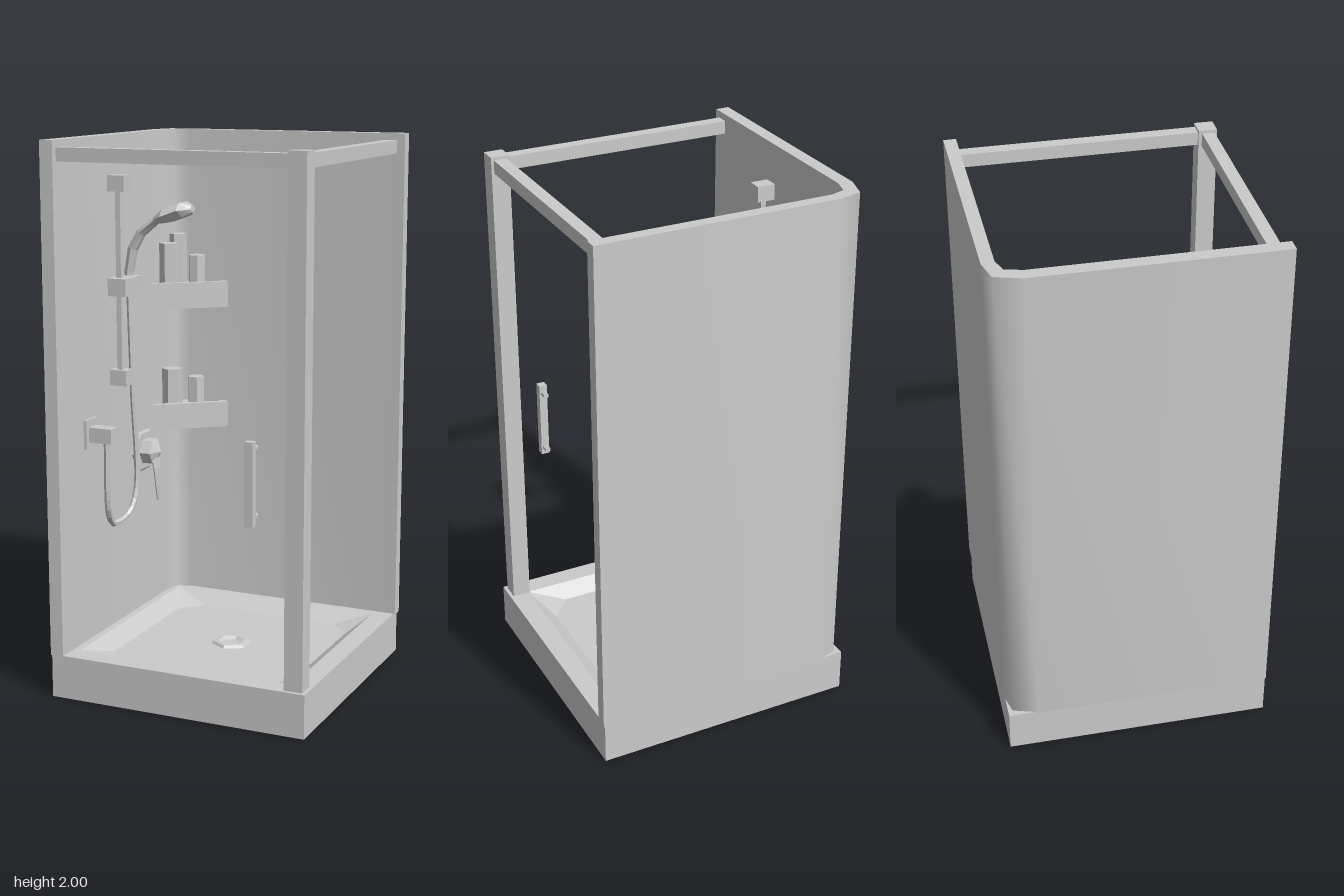
import * as THREE from 'three';
import { toCreasedNormals } from 'three/addons/utils/BufferGeometryUtils.js';

const mat = new THREE.MeshStandardMaterial({ color: 0xcccccc, flatShading: true });
const smoothMat = new THREE.MeshStandardMaterial({ color: 0xcccccc });

function add(parent, name, geo, material = mat) {
  const mesh = new THREE.Mesh(geo, material);
  mesh.name = name;
  parent.add(mesh);
  return mesh;
}

// Box given by its limits on each axis
function box(parent, name, [x0, x1], [y0, y1], [z0, z1]) {
  const m = add(parent, name, new THREE.BoxGeometry(x1 - x0, y1 - y0, z1 - z0));
  m.position.set((x0 + x1) / 2, (y0 + y1) / 2, (z0 + z1) / 2);
  return m;
}

// Floor plan of [x, z] points raised from y0 to y1
function raise(plan, y0, y1, hole) {
  const pts = p => p.map(([x, z]) => new THREE.Vector2(x, -z));
  const shape = new THREE.Shape(pts(plan));
  if (hole) shape.holes.push(new THREE.Path(pts(hole)));
  return new THREE.ExtrudeGeometry(shape, { depth: y1 - y0, bevelEnabled: false })
    .rotateX(-Math.PI / 2).translate(0, y0, 0);
}

function meshFrom(pos, index) {
  let geo = new THREE.BufferGeometry();
  geo.setAttribute('position', new THREE.Float32BufferAttribute(pos, 3));
  geo.setIndex(index);
  geo = geo.toNonIndexed();
  geo.computeVertexNormals();
  return geo;
}

// Six-sided loft along [x, y, halfWidth, halfThickness] sections at a fixed z
function loft(sections, z) {
  const pos = [], index = [], n = sections.length, sides = 6;
  sections.forEach(([x, y, w, h], i) => {
    const a = sections[Math.max(i - 1, 0)], b = sections[Math.min(i + 1, n - 1)];
    const t = new THREE.Vector2(b[0] - a[0], b[1] - a[1]).normalize();
    for (let j = 0; j < sides; j++) {
      const ang = (j + 0.5) / sides * Math.PI * 2;
      const c = Math.cos(ang) * h;
      pos.push(x - t.y * c, y + t.x * c, z + Math.sin(ang) * w);
    }
  });
  for (let i = 0; i < n - 1; i++) for (let j = 0; j < sides; j++) {
    const k = (j + 1) % sides, a = i * sides, b = a + sides;
    index.push(a + j, a + k, b + k, a + j, b + k, b + j);
  }
  const last = (n - 1) * sides;
  for (let j = 1; j < sides - 1; j++) index.push(0, j + 1, j, last, last + j, last + j + 1);
  return meshFrom(pos, index);
}

const hexLathe = profile =>
  new THREE.LatheGeometry(profile.map(([r, y]) => new THREE.Vector2(r, y)), 6);

function buildTray() {
  const g = new THREE.Group();
  g.name = 'tray';
  const X = [-0.493, 0.488], Z = [-0.495, 0.478], top = 0.16, floor = 0.117;
  const rx = [-0.42, 0.413], rz = [-0.43, 0.402];
  const rect = (x, z) => [[x[1], z[1]], [x[1], z[0]], [x[0], z[0]], [x[0], z[1]]];
  box(g, 'trayBase', X, [0, 0.11], Z);
  add(g, 'trayRim', raise(rect(X, Z), 0.11, top, rect(rx, rz)));

  // Sloping basin: four rim corners, eight floor points
  const pos = [], index = [];
  const fx = [-0.357, 0.355], fz = [-0.368, 0.345];
  const corners = rect(rx, rz), inner = rect(fx, fz);
  for (let i = 0; i < 4; i++) {
    const [x, z] = inner[i];
    const alongX = [x - Math.sign(x) * 0.08, z], alongZ = [x, z - Math.sign(z) * 0.09];
    const [p, q] = i % 2 ? [alongZ, alongX] : [alongX, alongZ];
    pos.push(corners[i][0], top, corners[i][1], p[0], floor, p[1], q[0], floor, q[1]);
    const a = i * 3, b = ((i + 1) % 4) * 3;
    index.push(a, a + 2, a + 1, a, b, b + 1, a, b + 1, a + 2);
  }
  const ring = [1, 2, 4, 5, 7, 8, 10, 11];
  for (let i = 1; i < 7; i++) index.push(ring[0], ring[i], ring[i + 1]);
  add(g, 'basin', meshFrom(pos, index));

  const drain = add(g, 'drain', hexLathe(
    [[0.076, 0], [0.068, 0.01], [0.05, 0.012], [0.034, 0.002], [0, 0.002]]));
  drain.position.set(0, floor, -0.01);
  return g;
}

function buildFrame() {
  const g = new THREE.Group();
  g.name = 'frame';
  // Two joined walls with a rounded corner
  const plan = [[-0.497, 0.48], [-0.447, 0.48], [-0.447, -0.375], [-0.43, -0.437],
    [-0.375, -0.455], [0.495, -0.455], [0.495, -0.5], [-0.383, -0.5],
    [-0.468, -0.478], [-0.497, -0.385]];
  add(g, 'walls', toCreasedNormals(raise(plan, 0.157, 2), 1.1), smoothMat);
  box(g, 'cornerPost', [0.407, 0.475], [0.158, 1.985], [0.398, 0.465]);
  box(g, 'frontRail', [-0.45, 0.41], [1.927, 1.975], [0.41, 0.455]);
  box(g, 'sideRail', [0.418, 0.465], [1.927, 1.975], [-0.46, 0.4]);
  // Door handle
  box(g, 'doorHandle', [0.272, 0.303], [0.73, 1.025], [0.468, 0.497]);
  for (const y of [0.76, 0.995]) {
    const stem = add(g, 'handleStem', new THREE.CylinderGeometry(0.011, 0.011, 0.035, 6).rotateX(Math.PI / 2));
    stem.position.set(0.288, y, 0.455);
  }
  return g;
}

// Corner shelf with raised front lip, carrying hexagonal bottles [x, z, radius, height]
function buildShelf(y, bottles) {
  const g = new THREE.Group();
  g.name = 'cornerShelf';
  const back = [[-0.43, -0.437], [-0.375, -0.455]];
  const outer = [[-0.447, -0.252], ...[[-0.447, -0.375]], ...back, [-0.215, -0.455], [-0.215, -0.432]];
  const lip = [[-0.447, -0.252], [-0.447, -0.283], [-0.395, -0.285], [-0.33, -0.337],
    [-0.247, -0.432], [-0.247, -0.455], [-0.215, -0.455], [-0.215, -0.432]];
  add(g, 'shelfBase', raise(outer, 0, 0.09));
  add(g, 'shelfLip', raise(lip, 0.09, 0.1));
  bottles.forEach(([x, z, r, h], i) => {
    const b = add(g, 'bottle', new THREE.CylinderGeometry(r, r, h, 6));
    b.position.set(x, 0.09 + h / 2, z);
    if (i === 0) b.rotation.y = Math.PI / 6;
  });
  g.position.y = y;
  return g;
}

function buildShower() {
  const g = new THREE.Group();
  g.name = 'handShower';
  const wall = -0.45;
  // Sliding rail with its brackets
  box(g, 'slideRail', [-0.424, -0.404], [1.1, 1.83], [0.055, 0.075]);
  for (const y of [1.115, 1.828]) box(g, 'railBracket', [wall, -0.38], [y - 0.029, y + 0.029], [0.036, 0.09]);
  box(g, 'showerHolder', [-0.443, -0.37], [1.42, 1.485], [-0.03, 0.105]);
  // Curved handle widening into the spray head
  add(g, 'showerHead', loft([
    [-0.412, 1.4, 0.011, 0.011], [-0.412, 1.5, 0.018, 0.018], [-0.395, 1.585, 0.02, 0.02],
    [-0.36, 1.645, 0.022, 0.018], [-0.3, 1.69, 0.027, 0.014], [-0.25, 1.712, 0.073, 0.03],
    [-0.185, 1.736, 0.073, 0.03], [-0.152, 1.738, 0.02, 0.014]], -0.007));
  // Hose hanging down and back up to the outlet
  const path = [[-0.412, 1.41, -0.007], [-0.4, 1.05, -0.003], [-0.388, 0.68, 0], [-0.395, 0.6, 0.04],
    [-0.4, 0.58, 0.085], [-0.4, 0.58, 0.165], [-0.39, 0.61, 0.21], [-0.38, 0.67, 0.244], [-0.375, 0.915, 0.255]];
  const curve = new THREE.CatmullRomCurve3(path.map(p => new THREE.Vector3(...p)));
  add(g, 'hose', new THREE.TubeGeometry(curve, 36, 0.012, 6));
  box(g, 'outletPlate', [wall, -0.435], [0.886, 0.993], [0.213, 0.296]);
  box(g, 'outlet', [wall, -0.345], [0.91, 0.965], [0.228, 0.28]);
  return g;
}

function buildMixer() {
  const g = new THREE.Group();
  g.name = 'mixerTap';
  const knob = add(g, 'mixerKnob', hexLathe(
    [[0.088, 0], [0.088, 0.008], [0.08, 0.013], [0.052, 0.013], [0.05, 0.055], [0, 0.08]]).rotateZ(-Math.PI / 2));
  knob.position.set(-0.447, 0.785, -0.165);
  add(g, 'mixerLever', loft([
    [-0.395, 0.79, 0.03, 0.014], [-0.384, 0.72, 0.024, 0.012],
    [-0.38, 0.65, 0.017, 0.01], [-0.378, 0.595, 0.008, 0.007]], -0.165));
  return g;
}

export function createModel() {
  const model = new THREE.Group();
  model.name = 'showerCabin';
  model.add(buildTray(), buildFrame(), buildShower(), buildMixer());
  model.add(buildShelf(1.32, [[-0.332, -0.422, 0.034, 0.11], [-0.415, -0.345, 0.038, 0.16], [-0.412, -0.42, 0.034, 0.19]]));
  model.add(buildShelf(0.845, [[-0.338, -0.422, 0.034, 0.105], [-0.41, -0.357, 0.04, 0.142]]));
  return model;
}
